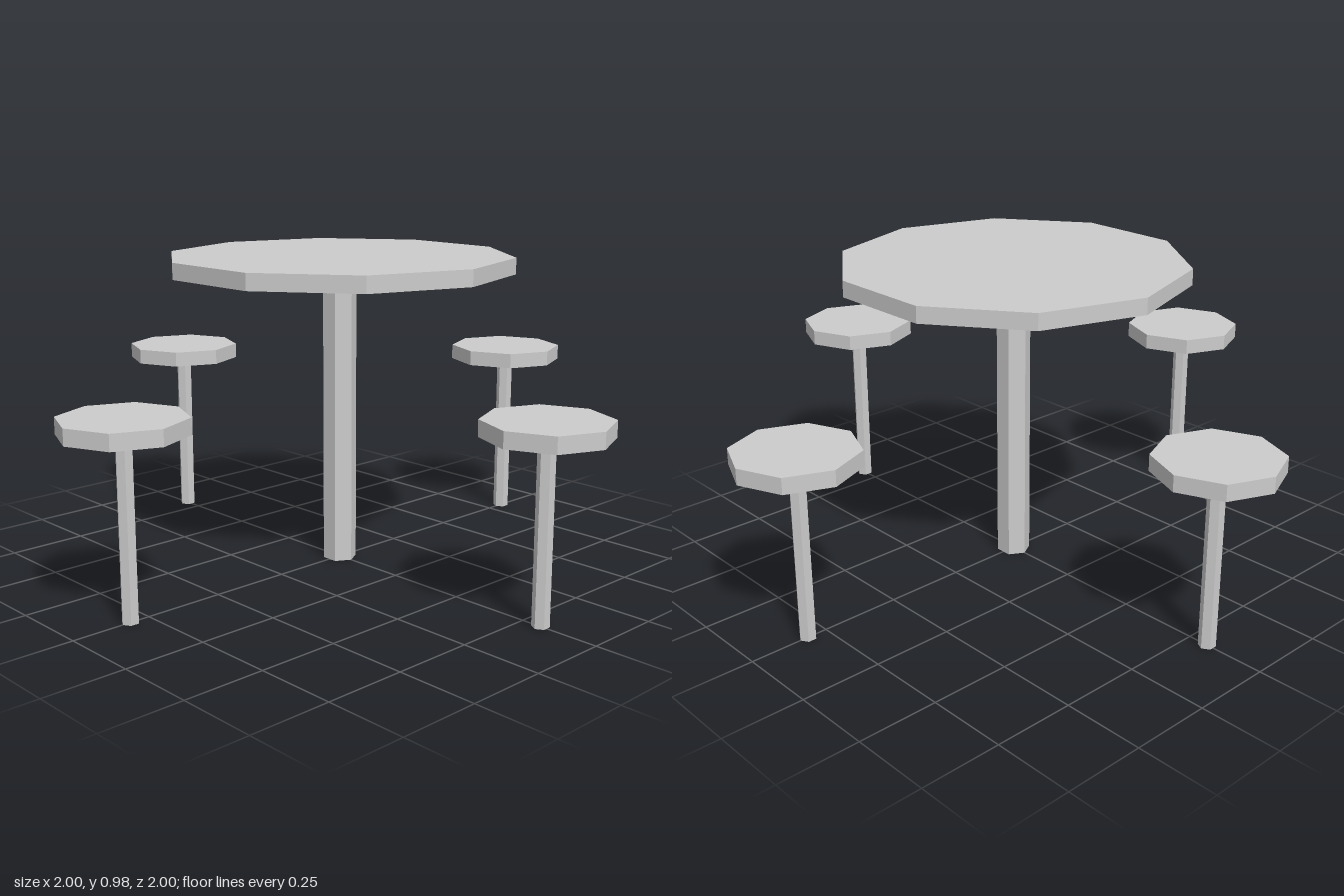
import * as THREE from 'three';

const material = new THREE.MeshStandardMaterial({ color: 0xcccccc, flatShading: true });

// Upright faceted disc or post spanning y0 to y1
function prism(name, radius, y0, y1, sides, turn = 0) {
  const geometry = new THREE.CylinderGeometry(radius, radius, y1 - y0, sides);
  geometry.rotateY(turn);
  geometry.translate(0, (y0 + y1) / 2, 0);
  const mesh = new THREE.Mesh(geometry, material);
  mesh.name = name;
  return mesh;
}

export function createModel() {
  const model = new THREE.Group();
  model.name = 'picnicTable';

  // Round table on a single post
  const table = new THREE.Group();
  table.name = 'table';
  table.add(prism('tableTop', 0.538, 0.925, 0.975, 10));
  table.add(prism('tablePost', 0.053, 0, 0.925, 6));
  model.add(table);

  // Four stools, one on each side
  const reach = 0.8125;
  const places = [['front', 0, 1], ['left', 1, 0], ['back', 0, -1], ['right', -1, 0]];
  for (const [side, x, z] of places) {
    const stool = new THREE.Group();
    stool.name = side + 'Stool';
    stool.add(prism('seat', 0.1875, 0.545, 0.594, 8));
    stool.add(prism('stoolLeg', 0.026, 0, 0.545, 6, Math.PI / 2));
    stool.position.set(x * reach, 0, z * reach);
    model.add(stool);
  }
  return model;
}
